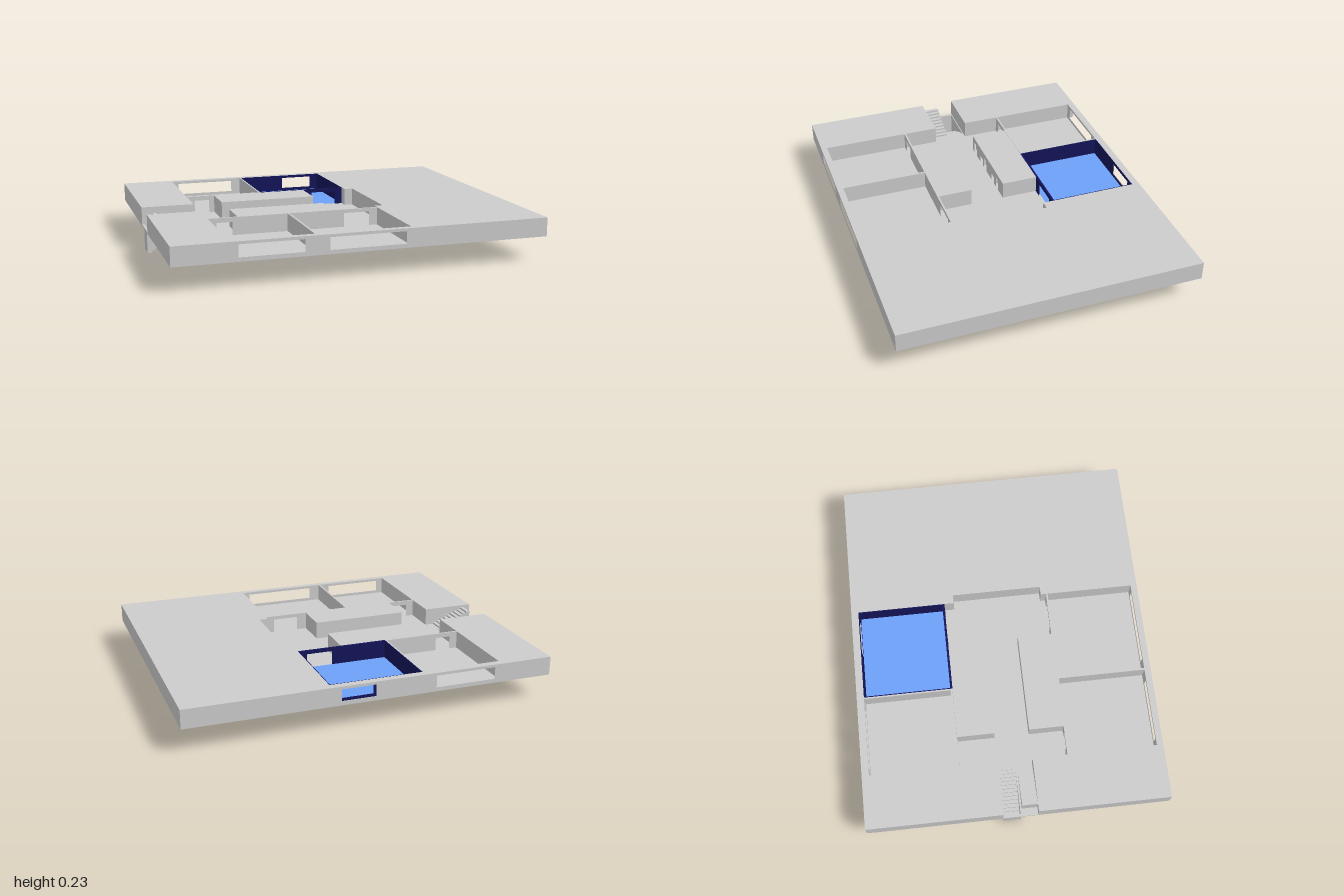
import * as THREE from 'three';

const grey = new THREE.MeshStandardMaterial({ color: 0xcccccc, flatShading: true });
const navy = new THREE.MeshStandardMaterial({ color: 0x14145a, flatShading: true });
const blue = new THREE.MeshStandardMaterial({ color: 0x6ca0f6, flatShading: true });

const BASE = 0.133, FLOOR = 0.138, TOP = 0.235;

export function createModel() {
  const model = new THREE.Group();

  const add = (name, geometry, material = grey) => {
    const mesh = new THREE.Mesh(geometry, material);
    mesh.name = name;
    model.add(mesh);
    return mesh;
  };

  const box = (name, x0, x1, y0, y1, z0, z1, material) => {
    const g = new THREE.BoxGeometry(x1 - x0, y1 - y0, z1 - z0);
    g.translate((x0 + x1) / 2, (y0 + y1) / 2, (z0 + z1) / 2);
    return add(name, g, material);
  };

  const rectPath = (x0, x1, y0, y1) => new THREE.Path(
    [[x0, y0], [x0, y1], [x1, y1], [x1, y0]].map(p => new THREE.Vector2(...p)));

  // Plan outline given as [x, z] points, extruded upward
  const plan = (name, points, y0, y1, holes = [], material) => {
    const shape = new THREE.Shape(points.map(([x, z]) => new THREE.Vector2(x, -z)));
    holes.forEach(([x0, x1, z0, z1]) => shape.holes.push(rectPath(x0, x1, -z1, -z0)));
    const g = new THREE.ExtrudeGeometry(shape, { depth: y1 - y0, bevelEnabled: false });
    g.rotateX(-Math.PI / 2).translate(0, y0, 0);
    return add(name, g, material);
  };

  // Wall along x with rectangular openings [x0, x1, y0, y1]
  const wall = (name, x0, x1, z0, z1, openings, material) => {
    const shape = new THREE.Shape(rectPath(x0, x1, BASE, TOP).getPoints());
    openings.forEach(o => shape.holes.push(rectPath(...o)));
    const g = new THREE.ExtrudeGeometry(shape, { depth: z1 - z0, bevelEnabled: false });
    g.translate(0, 0, z0);
    return add(name, g, material);
  };

  // Floor plate, open under the south-west corner, the stairwell and the blue room
  plan('floor', [[-1, -0.79], [0.97, -0.79], [0.97, 0.79], [-0.73, 0.79], [-0.73, 0.32], [-1, 0.32]],
    0.13, FLOOR, [[-0.985, -0.73, -0.085, 0.015], [-0.27, 0.237, -0.78, -0.3]]);
  box('blueRoomFloor', -0.27, 0.237, 0.13, FLOOR, -0.78, -0.3, blue);

  // Solid masses around the rooms
  plan('eastMass', [[0.237, -0.82], [1, -0.82], [1, 0.82], [0.237, 0.82],
    [0.237, 0.265], [0.285, 0.265], [0.285, -0.235], [0.237, -0.235]], BASE, TOP);
  box('northWestMass', -1, -0.71, BASE, TOP, -0.82, -0.085);
  box('southWestMass', -1, -0.71, BASE, TOP, 0.105, 0.82);

  // Outer walls with windows
  const wideWindow = [-0.67, -0.335, 0.155, 0.22];
  const blueWindow = [0, 0.185, 0.155, 0.22];
  wall('northWall', -0.71, 0.237, -0.82, -0.78, [wideWindow, blueWindow]);
  wall('southWall', -0.71, 0.237, 0.785, 0.82, [wideWindow, [-0.205, 0.2, 0.155, 0.22]]);

  // Room walls with doors to the halls
  const westDoor = [-0.665, -0.58, FLOOR, 0.21];
  const eastDoor = [0.045, 0.19, FLOOR, 0.215];
  wall('northWestRoomWall', -0.71, -0.27, -0.3, -0.29, [westDoor]);
  wall('blueRoomDoorWall', -0.27, 0.237, -0.301, -0.289, [eastDoor], navy);
  wall('southRoomWall', -0.71, 0.237, 0.295, 0.305, [westDoor, eastDoor]);
  box('northPartition', -0.28, -0.271, BASE, TOP, -0.78, -0.3);
  box('southPartition', -0.276, -0.265, BASE, TOP, 0.305, 0.785);

  // Dark lining of the blue room
  wall('blueRoomNorthLining', -0.27, 0.237, -0.78, -0.776, [blueWindow], navy);
  box('blueRoomWestLining', -0.271, -0.266, FLOOR, TOP, -0.776, -0.301, navy);
  box('blueRoomEastLining', 0.233, 0.237, FLOOR, TOP, -0.776, -0.301, navy);

  // Core blocks beside the corridor; the north one has a row of door recesses
  box('northCore', -0.55, -0.01, BASE, TOP, -0.289, -0.105);
  const recesses = [[-0.52, -0.47], [-0.41, -0.365], [-0.345, -0.3], [-0.21, -0.16], [-0.13, -0.09]];
  wall('northCoreFront', -0.55, -0.01, -0.105, -0.085, recesses.map(([a, b]) => [a, b, FLOOR, 0.205]));
  box('southCore', -0.55, -0.01, BASE, TOP, 0.105, 0.295);

  // Stairs down below the floor and stairs up beside them
  const steps = 14, x0 = -0.985, run = 0.265 / steps;
  const level = i => FLOOR * (1 - Math.pow(1 - i / steps, 1.3));
  for (let i = 0; i < steps; i++) {
    box('lowerStep', x0 + i * run, x0 + (i + 1) * run + 0.002, level(i), level(i + 1), -0.08, 0.01);
  }
  for (let i = 0; i < 9; i++) {
    const x = -0.76 - i * 0.022;
    box('upperStep', x - 0.022, x, FLOOR, FLOOR + (i + 1) * 0.0095, 0.02, 0.105);
  }

  // Stairwell side walls and end wall
  [-0.085, 0.01].forEach(z => {
    const side = new THREE.Shape();
    side.moveTo(x0, FLOOR);
    for (let i = 0; i < steps; i++) {
      side.lineTo(x0 + i * run, level(i));
      side.lineTo(x0 + (i + 1) * run, level(i));
    }
    side.lineTo(x0 + steps * run, FLOOR);
    const g = new THREE.ExtrudeGeometry(side, { depth: 0.005, bevelEnabled: false });
    g.translate(0, 0, z);
    add('stairwellSide', g);
  });
  box('stairwellEnd', x0 - 0.005, x0, 0, FLOOR, -0.085, 0.015);

  return model;
}
